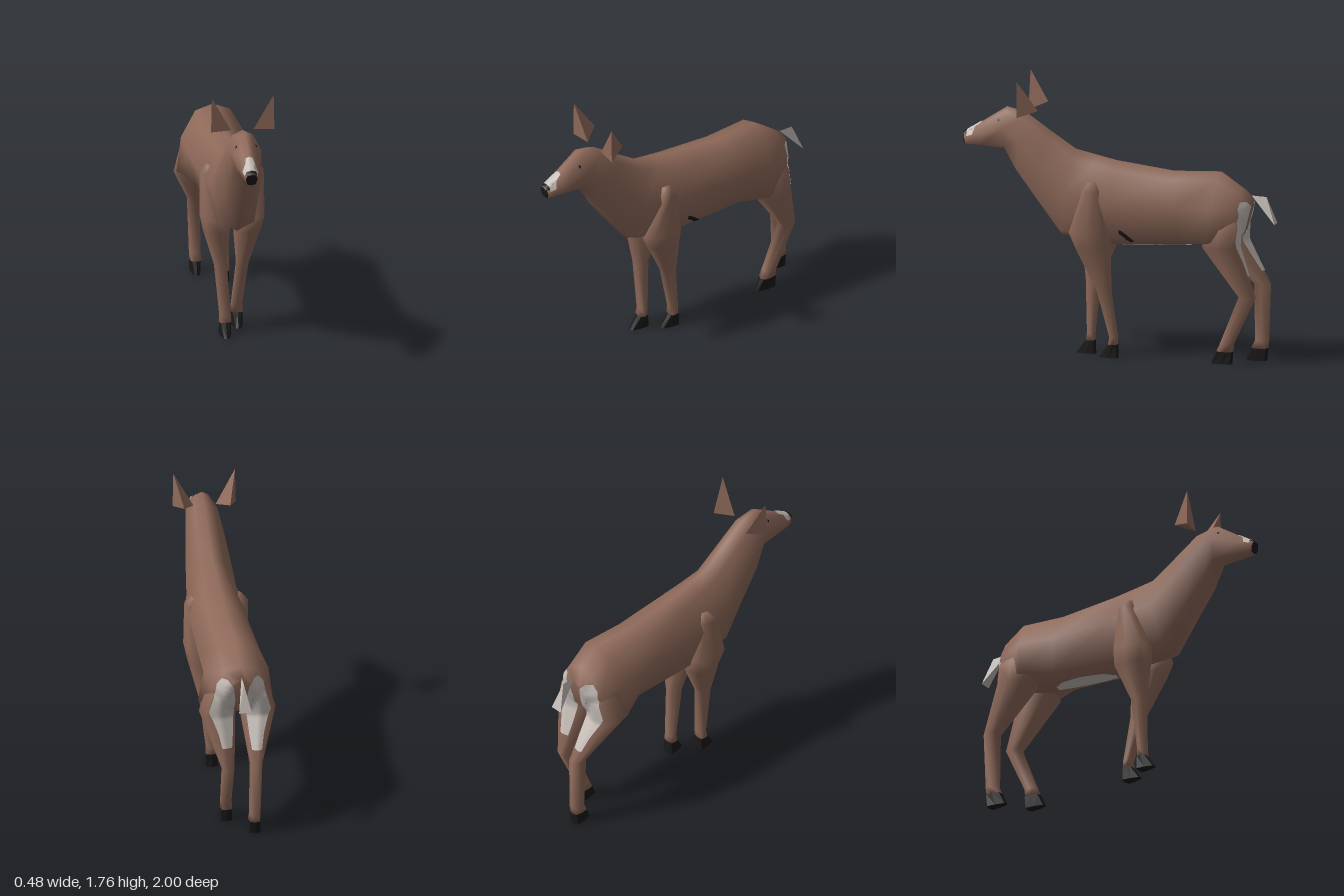
import * as THREE from 'three';

const brown = new THREE.MeshStandardMaterial({ color: 0x8f6a5a });
brown.name = 'brownCoat';
const white = new THREE.MeshStandardMaterial({ color: 0xc6beb8, side: THREE.DoubleSide });
white.name = 'paleFur';
const black = new THREE.MeshStandardMaterial({ color: 0x1a1818, side: THREE.DoubleSide });
black.name = 'blackHorn';

// Closed mesh from points and triangles; triangles are turned outward by signed volume
function solid(name, points, index, material, flat = false) {
  let volume = 0;
  for (let i = 0; i < index.length; i += 3) {
    const [a, b, c] = [0, 1, 2].map((k) => new THREE.Vector3(...points[index[i + k]]));
    volume += a.dot(b.cross(c));
  }
  if (volume < 0) index.reverse();
  let geometry = new THREE.BufferGeometry();
  geometry.setAttribute('position', new THREE.Float32BufferAttribute(points.flat(), 3));
  geometry.setIndex(index);
  if (flat) geometry = geometry.toNonIndexed();
  geometry.computeVertexNormals();
  const mesh = new THREE.Mesh(geometry, material);
  mesh.name = name;
  return mesh;
}

// Skin over a series of rings, capped at both ends
function loft(name, rings, material, flat) {
  const n = rings[0].length, last = (rings.length - 1) * n, index = [];
  for (let r = 0; r < rings.length - 1; r++) {
    for (let i = 0; i < n; i++) {
      const a = r * n + i, b = r * n + (i + 1) % n;
      index.push(a, b, b + n, a, b + n, a + n);
    }
  }
  for (let i = 1; i < n - 1; i++) index.push(0, i + 1, i, last, last + i, last + i + 1);
  return solid(name, rings.flat(), index, material, flat);
}

const tetra = (name, points, material) =>
  solid(name, points, [0, 1, 2, 0, 2, 3, 0, 3, 1, 1, 3, 2], material, true);

// Body ring between a spine point and a belly point, with three half widths
function bodyRing([zt, yt, zb, yb, upper, middle, lower]) {
  const at = (x, t) => [x, yt + (yb - yt) * t, zt + (zb - zt) * t];
  const side = [[upper, 0.08], [middle, 0.45], [lower, 0.91]];
  return [at(0, 0), ...side.map(([x, t]) => at(x, t)), at(0, 1),
    ...side.slice().reverse().map(([x, t]) => at(-x, t))];
}

// Horizontal eight-sided leg ring: height, front z, back z, inner x, outer x.
// A low power is squarer; taper narrows the front toward a toe
function legRing([y, zf, zb, xi, xo], side, power, taper = 0) {
  const ring = [];
  const soft = (v) => (Math.abs(v) < 1e-6 ? 0 : Math.sign(v) * Math.abs(v) ** power);
  for (let i = 0; i < 8; i++) {
    const a = (i * Math.PI) / 4, s = soft(Math.sin(a));
    const x = (xi + xo) / 2 + ((xo - xi) / 2) * soft(Math.cos(a)) * (1 - (taper * (s + 1)) / 2);
    ring.push([side * x, y, (zf + zb) / 2 + ((zf - zb) / 2) * s]);
  }
  return ring;
}

// Thin coat marking laid on the surface: rows of [v, u0, u1] projected along one axis
function marking(name, targets, axis, sign, rows, material) {
  const cols = 8, steps = 4, offset = 0.004, points = [], index = [];
  const [u, v] = { x: ['z', 'y'], y: ['x', 'z'], z: ['x', 'y'] }[axis];
  const ray = new THREE.Raycaster();
  const direction = new THREE.Vector3();
  direction[axis] = -sign;
  const count = (rows.length - 1) * steps;
  for (let r = 0; r <= count; r++) {
    const k = Math.min(Math.floor(r / steps), rows.length - 2), f = r / steps - k;
    const row = rows[k].map((value, i) => value + (rows[k + 1][i] - value) * f);
    for (let c = 0; c <= cols; c++) {
      const origin = new THREE.Vector3();
      origin[axis] = sign * 3;
      origin[v] = row[0];
      origin[u] = row[1] + ((row[2] - row[1]) * c) / cols;
      ray.set(origin, direction);
      const hit = ray.intersectObjects(targets)[0];
      points.push(hit ? hit.point.addScaledVector(hit.face.normal, offset) : null);
    }
  }
  const fits = (ids) => ids.every((i) => points[i]) &&
    Math.max(...ids.map((i) => points[i][axis])) - Math.min(...ids.map((i) => points[i][axis])) < 0.09;
  for (let r = 0; r < count; r++) {
    for (let c = 0; c < cols; c++) {
      const a = r * (cols + 1) + c, b = a + cols + 1;
      for (const tri of [[a, b, a + 1], [a + 1, b, b + 1]]) if (fits(tri)) index.push(...tri);
    }
  }
  const geometry = new THREE.BufferGeometry();
  geometry.setAttribute('position', new THREE.Float32BufferAttribute(
    points.flatMap((p) => (p ? p.toArray() : [0, 1, 0])), 3));
  // Wind the faces toward the projecting side
  if ((axis === 'z') === (sign < 0)) index.reverse();
  geometry.setIndex(index);
  geometry.computeVertexNormals();
  const mesh = new THREE.Mesh(geometry, material);
  mesh.name = name;
  return mesh;
}

export function createModel() {
  const model = new THREE.Group();
  model.name = 'deer';

  // Torso with hips and shoulders, neck and head in one skin
  const body = loft('body', [
    [-0.86, 1.05, -0.80, 0.82, 0.05, 0.10, 0.06],
    [-0.79, 1.105, -0.76, 0.78, 0.10, 0.175, 0.15],
    [-0.65, 1.21, -0.59, 0.75, 0.11, 0.205, 0.236],
    [-0.35, 1.20, -0.43, 0.735, 0.11, 0.195, 0.14],
    [0.02, 1.25, 0.02, 0.71, 0.10, 0.18, 0.12],
    [0.15, 1.28, 0.19, 0.735, 0.085, 0.19, 0.135],
    [0.28, 1.31, 0.37, 0.76, 0.075, 0.16, 0.11],
    [0.45, 1.425, 0.52, 0.96, 0.07, 0.14, 0.09],
    [0.60, 1.53, 0.65, 1.14, 0.065, 0.118, 0.08],
    [0.72, 1.56, 0.73, 1.29, 0.042, 0.1, 0.06],
    [0.88, 1.457, 0.88, 1.30, 0.032, 0.064, 0.042],
    [0.993, 1.388, 0.982, 1.308, 0.028, 0.037, 0.028],
  ].map(bodyRing), brown);
  model.add(body);

  model.add(loft('nose', [
    [0.994, 1.388, 0.982, 1.308, 0.028, 0.037, 0.028],
    [1.0, 1.383, 0.987, 1.312, 0.027, 0.035, 0.027],
  ].map(bodyRing), black, true));

  // Legs: front and hind, with a walking offset [dy, dz] for the right side at knee and foot
  const legs = [
    {
      name: 'front', shifts: [[0.03, 0.10], [0, 0.165], [0, 0.165]],
      upper: [[1.13, 0.18, 0.12, 0.1, 0.16], [1.08, 0.21, 0.09, 0.08, 0.202], [0.8, 0.3, 0.035, 0.03, 0.205],
        [0.7, 0.265, 0.035, 0.008, 0.185]],
      lower: [[0.44, 0.135, 0.035, 0.036, 0.118], [0.13, 0.055, 0.0, 0.012, 0.085], [0.085, 0.062, 0.0, 0.008, 0.09]],
      sole: [0, 0.122, -0.005, 0.003, 0.095],
    },
    {
      name: 'hind', shifts: [[0.06, -0.06], [0, -0.19], [0, -0.19]],
      upper: [[1.03, -0.62, -0.75, 0.06, 0.14], [0.9, -0.55, -0.81, 0.03, 0.2], [0.76, -0.555, -0.8, 0.012, 0.242]],
      lower: [[0.43, -0.78, -0.89, 0.042, 0.125], [0.13, -0.66, -0.75, 0.04, 0.113], [0.08, -0.637, -0.745, 0.035, 0.113]],
      sole: [0, -0.6, -0.738, 0.032, 0.118],
    },
  ];
  const coat = [body];
  for (const leg of legs) {
    for (const side of [1, -1]) {
      const label = leg.name + (side > 0 ? 'Left' : 'Right');
      const move = ([y, zf, zb, xi, xo], [dy, dz]) => [y + dy, zf + dz, zb + dz, xi, xo];
      const shifts = side > 0 ? [[0, 0], [0, 0], [0, 0]] : leg.shifts;
      const lower = leg.lower.map((ring, i) => move(ring, shifts[i]));
      const limb = loft(label + 'Leg', [...leg.upper, ...lower].map((r) => legRing(r, side, 0.7)), brown);
      const hoof = [legRing(lower[2], side, 0.5, 0.2), legRing(move(leg.sole, shifts[2]), side, 0.5, 0.6)];
      model.add(limb, loft(label + 'Hoof', hoof, black, true));
      coat.push(limb);
    }
  }

  // Ears and tail
  for (const s of [1, -1]) {
    model.add(tetra(s > 0 ? 'leftEar' : 'rightEar', [
      [0.195 * s, 1.76, 0.615], [0.2 * s, 1.53, 0.615], [0.07 * s, 1.53, 0.6], [0.145 * s, 1.57, 0.49],
    ], brown));
  }
  model.add(tetra('tail', [[0, 1.065, -0.845], [0, 1.06, -0.94], [0.04, 0.89, -1], [-0.04, 0.89, -1]], white));

  // Coat markings
  model.add(marking('muzzlePatch', coat, 'y', 1,
    [[0.88, -0.02, 0.02], [0.92, -0.03, 0.03], [0.935, -0.047, 0.047], [0.972, -0.038, 0.038]], white));
  model.add(marking('noseTop', coat, 'y', 1, [[0.972, -0.032, 0.032], [0.99, -0.03, 0.03]], black));
  model.add(marking('bellyPatch', coat, 'y', -1,
    [[-0.46, -0.02, 0.02], [-0.4, -0.05, 0.05], [-0.27, -0.06, 0.06], [-0.1, -0.045, 0.045], [-0.02, -0.015, 0.015]], white));
  model.add(marking('flankSpot', coat, 'x', 1,
    [[0.835, -0.035, -0.025], [0.81, -0.07, -0.025], [0.785, -0.1, -0.06], [0.77, -0.118, -0.075], [0.76, -0.118, -0.1]], black));
  const rump = [[1.04, 0.08, 0.115], [1.0, 0.05, 0.145], [0.9, 0.035, 0.165], [0.8, 0.04, 0.195],
    [0.74, 0.045, 0.17], [0.66, 0.05, 0.14], [0.57, 0.06, 0.12]];
  const eye = [[1.489, 0.757, 0.763], [1.48, 0.752, 0.768], [1.471, 0.757, 0.763]];
  for (const s of [1, -1]) {
    const label = s > 0 ? 'left' : 'right';
    model.add(marking(label + 'RumpPatch', coat, 'z', -1, rump.map(([y, a, b]) => (s > 0 ? [y, a, b] : [y, -b, -a])), white));
    model.add(marking(label + 'Eye', coat, 'x', s, eye, black));
  }
  return model;
}
